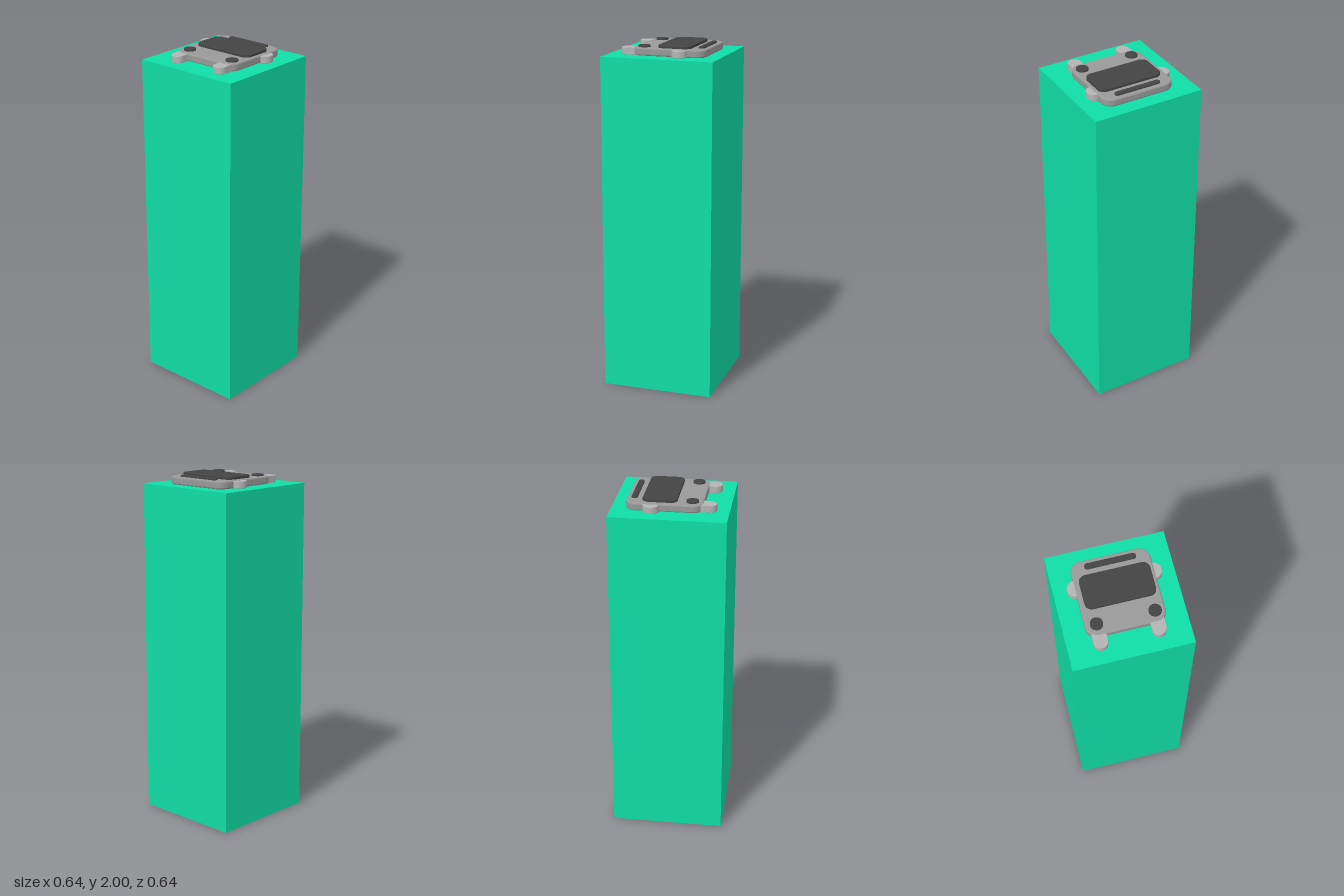
import * as THREE from 'three';

const GREEN = 0x10dda6, GREY = 0x999999, LIGHT = 0xb4b4b4, DARK = 0x444444;
const TOP = 1.94; // top face of the pillar

// Rounded slab lying flat: x and z extents, corner radius, bottom and top heights
function slab(name, [x0, x1], [z0, z1], r, [y0, y1], color, bevel = 0.003) {
  const w = (x1 - x0) / 2, d = (z1 - z0) / 2, s = new THREE.Shape();
  s.moveTo(w, -d + r);
  s.absarc(w - r, d - r, r, 0, Math.PI / 2);
  s.absarc(-w + r, d - r, r, Math.PI / 2, Math.PI);
  s.absarc(-w + r, -d + r, r, Math.PI, Math.PI * 1.5);
  s.absarc(w - r, -d + r, r, Math.PI * 1.5, Math.PI * 2);
  const geometry = new THREE.ExtrudeGeometry(s, {
    depth: y1 - y0 - 2 * bevel, curveSegments: 12,
    bevelThickness: bevel, bevelSize: bevel, bevelOffset: -bevel, bevelSegments: 2,
  });
  geometry.rotateX(-Math.PI / 2);
  const mesh = new THREE.Mesh(geometry, new THREE.MeshStandardMaterial({ color }));
  mesh.position.set((x0 + x1) / 2, y0 + bevel, (z0 + z1) / 2);
  mesh.name = name;
  return mesh;
}

// Round disc built from a slab whose corners meet
const disc = (name, x, z, r, heights, color) =>
  slab(name, [x - r, x + r], [z - r, z + r], r - 0.0005, heights, color);

export function createModel() {
  const model = new THREE.Group();
  model.name = 'pillarWithRelief';

  // Tall square pillar
  const pillar = new THREE.Mesh(
    new THREE.BoxGeometry(0.645, TOP, 0.645),
    new THREE.MeshStandardMaterial({ color: GREEN }),
  );
  pillar.name = 'pillar';
  pillar.position.y = TOP / 2;
  model.add(pillar);

  // Shallow vehicle-front relief lying on the pillar
  const relief = new THREE.Group();
  relief.name = 'relief';
  relief.add(
    slab('body', [-0.21, 0.214], [-0.242, 0.18], 0.06, [TOP, 1.984], GREY, 0.008),
    slab('windscreen', [-0.182, 0.195], [-0.153, 0.037], 0.038, [1.975, 2], DARK, 0.004),
    slab('roofSlot', [-0.134, 0.141], [-0.218, -0.185], 0.016, [1.975, 1.993], DARK),
  );

  // Paired parts on both sides of the body
  for (const [side, lampX, mirrorX, wheelX] of [
    ['right', -0.148, -0.206, -0.149],
    ['left', 0.159, 0.208, 0.157],
  ]) {
    relief.add(
      disc(side + 'Lamp', lampX, 0.12, 0.034, [1.975, 1.994], DARK),
      disc(side + 'Mirror', mirrorX, -0.1, 0.045, [TOP, 1.98], LIGHT),
      slab(side + 'Wheel', [wheelX - 0.038, wheelX + 0.038], [0.14, 0.215], 0.002, [TOP, 1.98], LIGHT, 0.001),
      disc(side + 'WheelEnd', wheelX, 0.215, 0.038, [TOP, 1.98], LIGHT),
    );
  }
  model.add(relief);
  return model;
}
